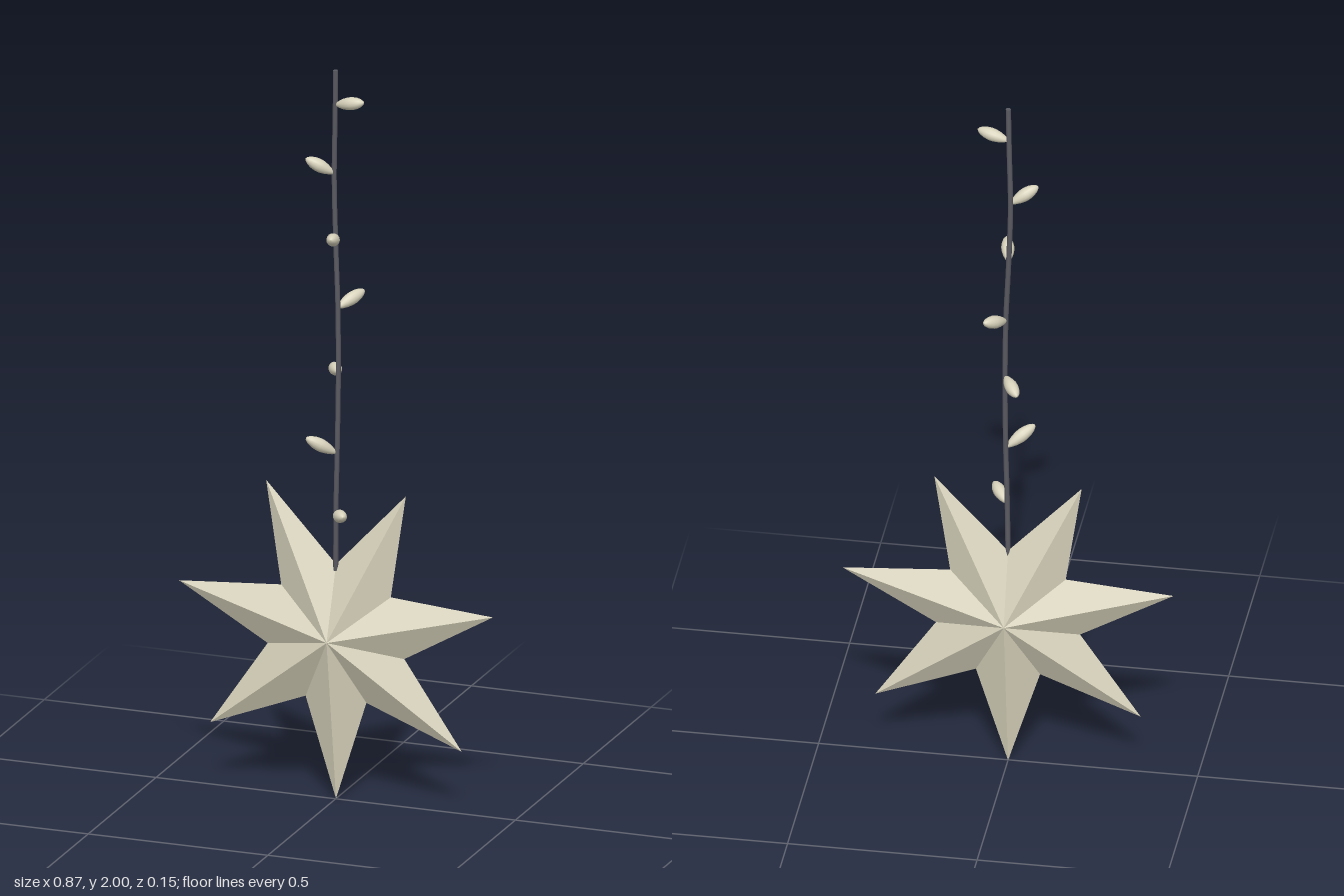
import * as THREE from 'three';

const V = (x, y, z) => new THREE.Vector3(x, y, z);

export function createModel() {
  const group = new THREE.Group();
  const cream = new THREE.MeshStandardMaterial({ color: 0xd8d3bc });
  cream.name = 'cream';
  const cord = new THREE.MeshStandardMaterial({ color: 0x5a5a62 });
  cord.name = 'cordGrey';

  const add = (geometry, material, name) => {
    const mesh = new THREE.Mesh(geometry, material);
    mesh.name = name;
    group.add(mesh);
    return mesh;
  };

  // Seven-pointed faceted star, raised to a peak at front and back
  const points = 7, outer = 0.448, inner = 0.195, depth = 0.07;
  const rim = (i) => {
    const a = -Math.PI / 2 + (i * Math.PI) / points;
    const r = i % 2 ? inner : outer;
    return [Math.cos(a) * r, Math.sin(a) * r, 0];
  };
  const corners = [];
  for (let i = 0; i < points * 2; i++) {
    const a = rim(i), b = rim(i + 1);
    corners.push(0, 0, depth, ...a, ...b, 0, 0, -depth, ...b, ...a);
  }
  const starGeometry = new THREE.BufferGeometry();
  starGeometry.setAttribute('position', new THREE.Float32BufferAttribute(corners, 3));
  starGeometry.computeVertexNormals();
  add(starGeometry, cream, 'star').position.set(0, 0.451, -0.002);

  // Gently wavering hanging cord, closed at the top
  const path = new THREE.CatmullRomCurve3([
    V(0, 0.63, 0), V(0.004, 0.8, 0.009), V(0.008, 0.95, 0.011), V(0.009, 1.15, 0.005),
    V(0.006, 1.35, 0), V(-0.002, 1.52, -0.006), V(-0.008, 1.7, -0.01),
    V(-0.004, 1.87, -0.006), V(-0.001, 2, -0.002),
  ]);
  add(new THREE.TubeGeometry(path, 48, 0.007, 8), cord, 'cord');
  const cap = add(new THREE.CircleGeometry(0.007, 8), cord, 'cordEnd');
  cap.rotation.x = -Math.PI / 2;
  cap.position.set(-0.001, 2, -0.002);

  // Almond-shaped buds, unit length along y
  const budGeometry = new THREE.LatheGeometry(
    [[0, 0], [0.05, 0.03], [0.1, 0.12], [0.16, 0.28], [0.195, 0.45], [0.2, 0.58],
      [0.175, 0.74], [0.125, 0.88], [0.06, 0.97], [0, 1]]
      .map(([r, y]) => new THREE.Vector2(r, y)), 14);

  // Each bud runs from the cord to its tip
  const buds = [
    [V(-0.002, 1.905, -0.005), V(0.082, 1.924, 0.01)],
    [V(-0.008, 1.715, -0.008), V(-0.076, 1.757, 0.021)],
    [V(-0.002, 1.535, -0.005), V(0.015, 1.56, 0.076)],
    [V(0.005, 1.35, -0.001), V(0.052, 1.382, -0.074)],
    [V(0.008, 1.176, 0.004), V(-0.035, 1.164, -0.072)],
    [V(0.006, 0.955, 0.011), V(-0.062, 1.003, 0.056)],
    [V(0.004, 0.785, 0.009), V(0.05, 0.804, 0.077)],
  ];
  buds.forEach(([base, tip], i) => {
    const dir = tip.clone().sub(base);
    const bud = add(budGeometry, cream, `bud${i + 1}`);
    bud.position.copy(base);
    bud.scale.set(0.087, dir.length(), 0.087);
    bud.quaternion.setFromUnitVectors(V(0, 1, 0), dir.normalize());
  });

  return group;
}
